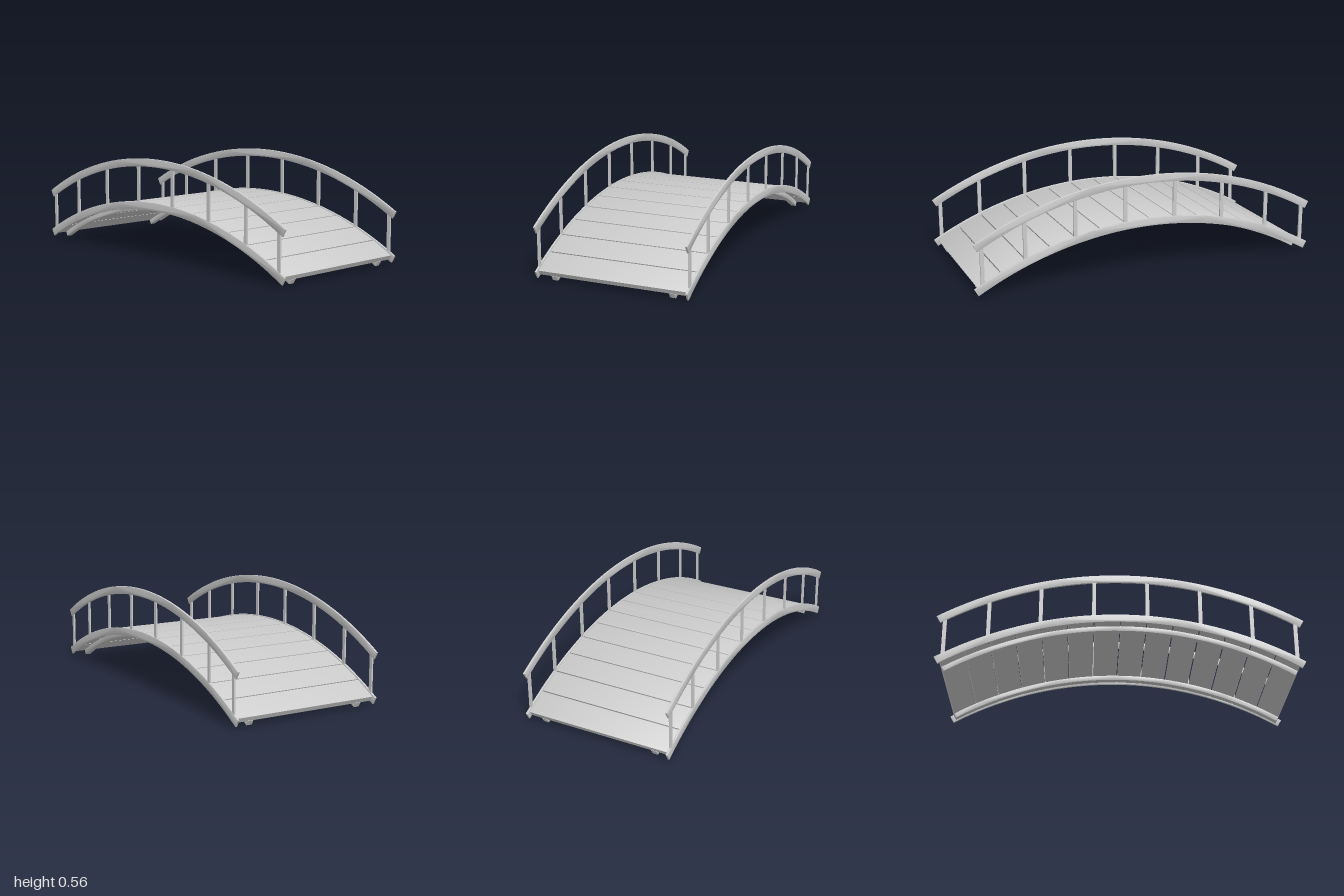
import * as THREE from 'three';
import { toCreasedNormals } from 'three/addons/utils/BufferGeometryUtils.js';

const HALF_ANGLE = Math.PI / 6;
const material = new THREE.MeshStandardMaterial({ color: 0xcccccc });

// Curved bar: an arc band with its crown at height top, extruded along z and centred there.
function arcBar(top, radius, thickness, width, from, to, segments, bevel) {
  const shape = new THREE.Shape();
  const centerY = top - radius;
  const ring = (r, t) => {
    const a = from + (to - from) * t;
    return new THREE.Vector2(r * Math.sin(a), centerY + r * Math.cos(a));
  };
  const points = [];
  for (let i = 0; i <= segments; i++) points.push(ring(radius - thickness, i / segments));
  for (let i = segments; i >= 0; i--) points.push(ring(radius, i / segments));
  shape.setFromPoints(points);
  const geometry = new THREE.ExtrudeGeometry(shape, {
    depth: width - 2 * bevel, bevelEnabled: true, bevelThickness: bevel,
    bevelSize: bevel, bevelOffset: -bevel, bevelSegments: 2,
  });
  geometry.translate(0, 0, -width / 2 + bevel);
  return toCreasedNormals(geometry, 0.6);
}

export function createModel() {
  const bridge = new THREE.Group();
  bridge.name = 'archedFootbridge';
  const add = (parent, name, geometry, x = 0, y = 0, z = 0) => {
    const mesh = new THREE.Mesh(geometry, material);
    mesh.name = name;
    mesh.position.set(x, y, z);
    parent.add(mesh);
    return mesh;
  };

  // Deck of curved planks with narrow gaps
  const deck = new THREE.Group();
  deck.name = 'deck';
  bridge.add(deck);
  const planks = 14;
  const step = (2 * HALF_ANGLE) / planks;
  const gap = 0.0015;
  for (let i = 0; i < planks; i++) {
    const start = -HALF_ANGLE + i * step;
    add(deck, 'plank', arcBar(0.312, 1.96, 0.028, 0.848, start + gap, start + step - gap, 6, 0.003));
  }

  // Side rails, posts and support beams, mirrored front and back
  const handrail = arcBar(0.56, 2.0, 0.045, 0.012, -HALF_ANGLE, HALF_ANGLE, 48, 0.003);
  const sideRail = arcBar(0.317, 2.0, 0.045, 0.012, -HALF_ANGLE, HALF_ANGLE, 48, 0.003);
  const beam = arcBar(0.286, 1.932, 0.03, 0.036, -HALF_ANGLE, HALF_ANGLE, 48, 0.003);
  const postX = [0.953, 0.717, 0.436, 0.146];

  for (const side of [1, -1]) {
    const railing = new THREE.Group();
    railing.name = side > 0 ? 'frontRailing' : 'backRailing';
    railing.position.z = side * 0.428;
    bridge.add(railing);
    add(railing, 'handrail', handrail);
    add(railing, 'sideRail', sideRail);

    // Upright posts, let into both rails
    for (const px of postX) {
      const drop = 2.0 - Math.sqrt(4.0 - px * px);
      const bottom = 0.295 - drop;
      const top = 0.538 - drop;
      for (const end of [1, -1]) {
        add(railing, 'post', new THREE.BoxGeometry(0.021, top - bottom, 0.009), end * px, (top + bottom) / 2);
      }
    }
    add(bridge, 'supportBeam', beam, 0, 0, side * 0.336);
  }
  return bridge;
}
